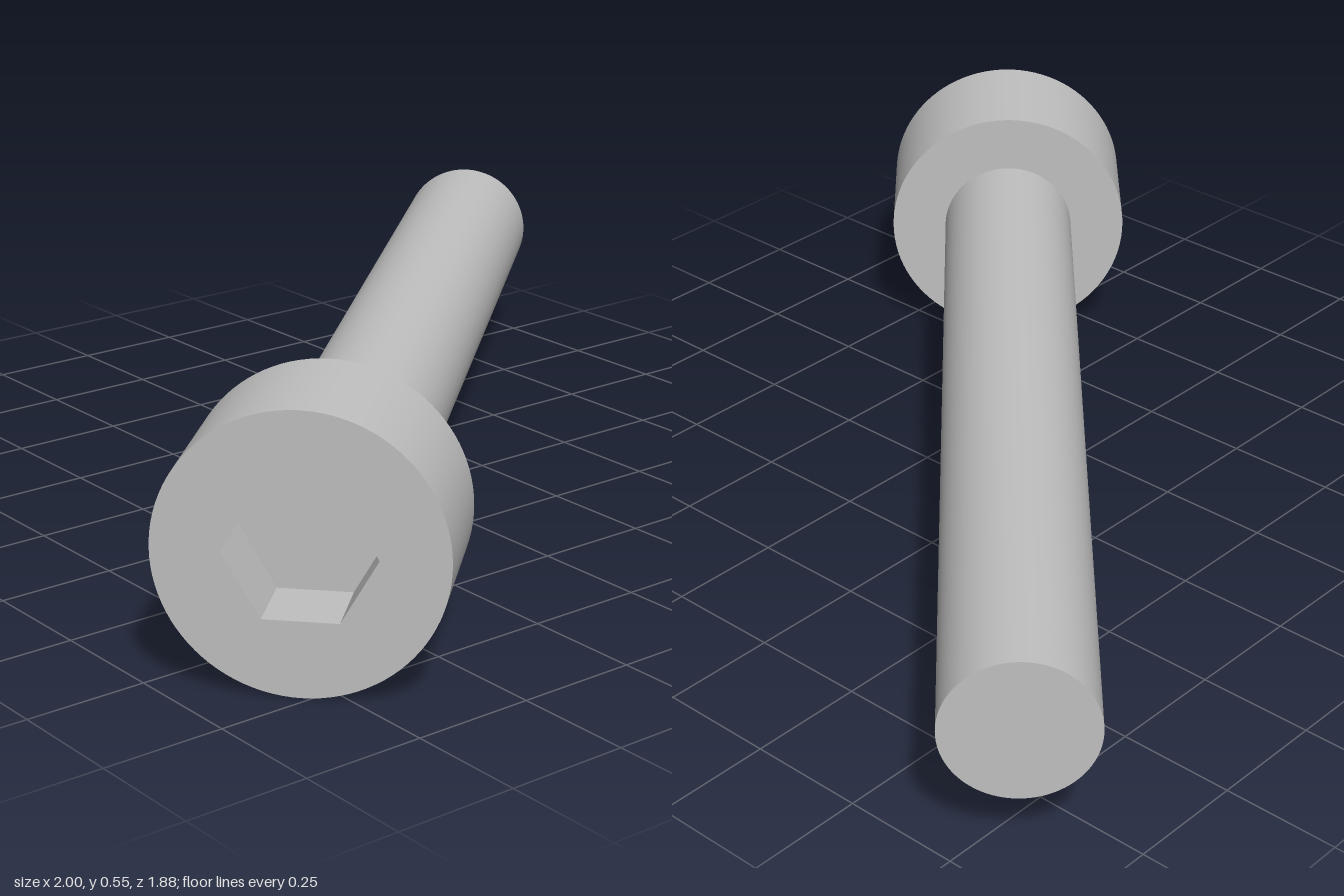
import * as THREE from 'three';

const HEAD_R = 0.2772, HEAD_L = 0.3024, SHAFT_R = 0.1512, SHAFT_L = 2.016;
const HEX_R = 0.1455, HEX_DEPTH = 0.15, SEG = 96;

export function createModel() {
  const steel = new THREE.MeshStandardMaterial({ color: 0xc0c0c0 });
  steel.name = 'steel';

  const model = new THREE.Group();
  model.name = 'socketHeadBolt';

  // The bolt lies along local z, with the socket face at z = 0 facing +z
  const bolt = new THREE.Group();
  bolt.name = 'bolt';
  model.add(bolt);

  const add = (name, geometry) => {
    const mesh = new THREE.Mesh(geometry, steel);
    mesh.name = name;
    bolt.add(mesh);
  };
  const barrel = (r, front, length) =>
    new THREE.CylinderGeometry(r, r, length, SEG, 1, true)
      .rotateX(Math.PI / 2).translate(0, 0, front - length / 2);

  // Head: side, front face with hexagonal opening, and underside
  add('headSide', barrel(HEAD_R, 0, HEAD_L));
  const hex = Array.from({ length: 6 }, (_, i) => new THREE.Vector2(
    HEX_R * Math.cos(i * Math.PI / 3), HEX_R * Math.sin(i * Math.PI / 3)));
  const face = new THREE.Shape().absarc(0, 0, HEAD_R, 0, Math.PI * 2, false);
  face.holes.push(new THREE.Path(hex.slice().reverse()).closePath());
  add('headFace', new THREE.ShapeGeometry(face, SEG / 2));
  add('headUnderside', new THREE.RingGeometry(SHAFT_R, HEAD_R, SEG)
    .rotateY(Math.PI).translate(0, 0, -HEAD_L));

  // Hexagonal socket: inward-facing walls and flat floor
  const walls = new THREE.CylinderGeometry(HEX_R, HEX_R, HEX_DEPTH, 6, 1, true, Math.PI / 2)
    .rotateX(Math.PI / 2).translate(0, 0, -HEX_DEPTH / 2);
  walls.index.array.reverse();
  const flatWalls = walls.toNonIndexed();
  flatWalls.computeVertexNormals();
  add('socketWalls', flatWalls);
  add('socketFloor', new THREE.CircleGeometry(HEX_R, 6).translate(0, 0, -HEX_DEPTH));

  // Plain shaft and its flat tip
  add('shaft', barrel(SHAFT_R, -HEAD_L, SHAFT_L));
  add('shaftTip', new THREE.CircleGeometry(SHAFT_R, SEG)
    .rotateY(Math.PI).translate(0, 0, -HEAD_L - SHAFT_L));

  // Lay the bolt diagonally on the ground
  bolt.rotation.y = -THREE.MathUtils.degToRad(47.57);
  bolt.position.set(-0.813, HEAD_R, 0.7355);
  return model;
}
